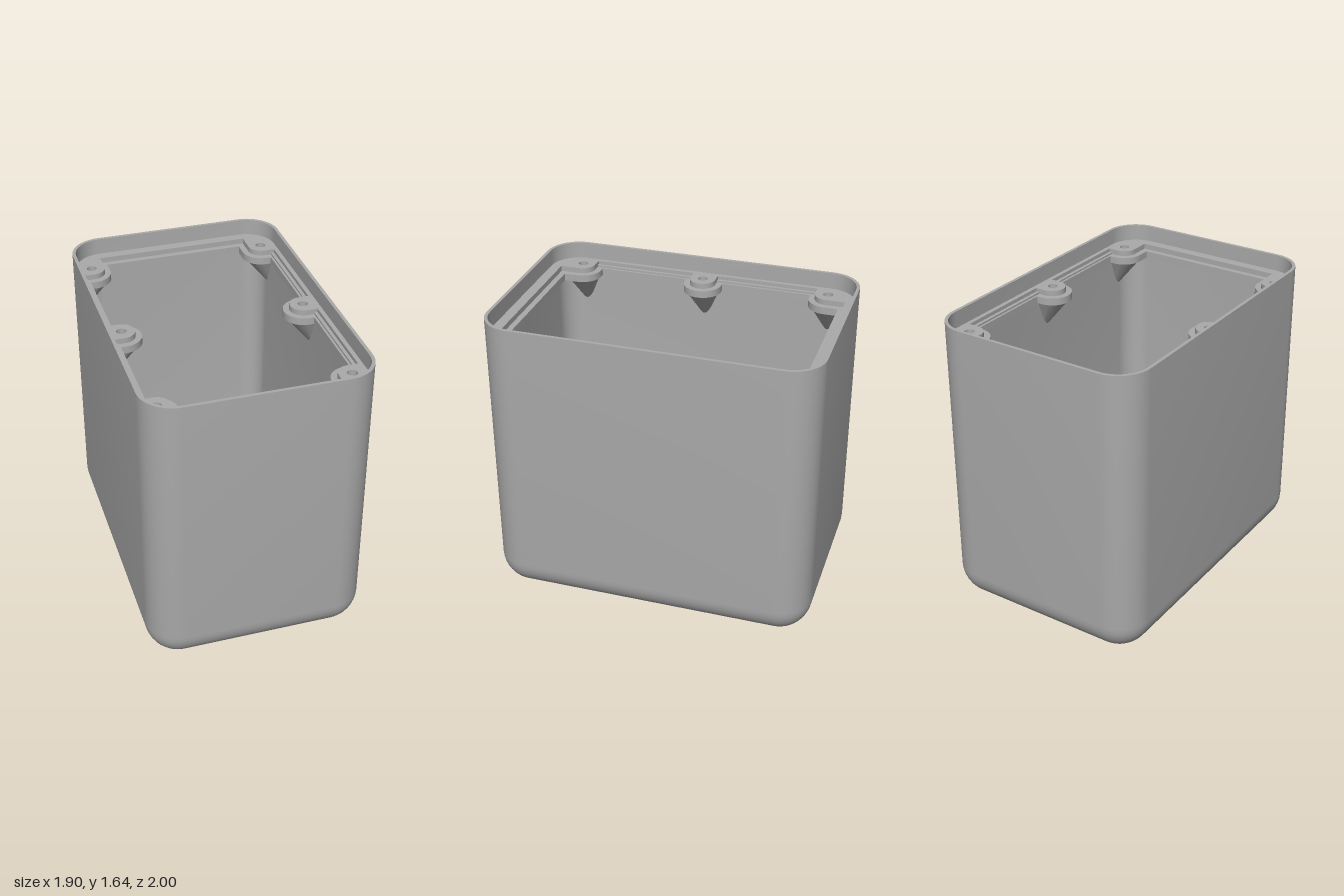
import * as THREE from 'three';
import { toCreasedNormals } from 'three/addons/utils/BufferGeometryUtils.js';

const W = 0.597, L = 0.894, H = 1.64;   // half width, half length, height
const R = 0.18;                         // outer corner and bottom fillet radius
const SX = 0.497, SZ = 0.713;           // lid screw positions
const CZ = 0.14, NUT = 0.345;           // floor opening centre, nut spacing
const FLOOR = 0.09, LEDGE = 1.55;

const grey = new THREE.MeshStandardMaterial({ color: 0xaaaaaa });
grey.name = 'grey plastic';

function mesh(name, geometry) {
  const m = new THREE.Mesh(toCreasedNormals(geometry, 0.5), grey);
  m.name = name;
  return m;
}

// Points of a rounded rectangle, inset from the outer outline
function outline(inset, steps = 10) {
  const r = Math.max(R - inset, 0.002), w = W - inset - r, l = L - inset - r, pts = [];
  [[1, 1], [-1, 1], [-1, -1], [1, -1]].forEach(([sx, sz], q) => {
    for (let i = 0; i <= steps; i++) {
      const a = (q + i / steps) * Math.PI / 2;
      pts.push(new THREE.Vector2(sx * w + r * Math.cos(a), sz * l + r * Math.sin(a)));
    }
  });
  return pts;
}

// Skin through a list of [inset, y] outlines
function skin(profile) {
  const pos = [], idx = [];
  const rings = profile.map(([inset]) => outline(inset));
  const n = rings[0].length;
  rings.forEach((ring, k) => ring.forEach(p => pos.push(p.x, profile[k][1], p.y)));
  for (let k = 0; k < rings.length - 1; k++) {
    for (let i = 0; i < n; i++) {
      const a = k * n + i, b = k * n + (i + 1) % n;
      idx.push(a, a + n, b, b, a + n, b + n);
    }
  }
  const g = new THREE.BufferGeometry();
  g.setAttribute('position', new THREE.Float32BufferAttribute(pos, 3));
  g.setIndex(idx);
  return g;
}

// Horizontal slab from a shape drawn in x and z
function slab(shape, bottom, top) {
  const g = new THREE.ExtrudeGeometry(shape, { depth: top - bottom, bevelEnabled: false, curveSegments: 40 });
  g.rotateX(Math.PI / 2);
  g.translate(0, top, 0);
  return g;
}

function circle(x, z, r, sides = 0) {
  if (!sides) return new THREE.Path().absarc(x, z, r, 0, Math.PI * 2, false);
  const pts = [];
  for (let i = 0; i < sides; i++) {
    const a = i / sides * Math.PI * 2;
    pts.push(new THREE.Vector2(x + r * Math.cos(a), z + r * Math.sin(a)));
  }
  return new THREE.Path(pts);
}

function rect(w, l, z = 0, r = 0.001) {
  const s = new THREE.Shape();
  s.moveTo(w, z - l + r);
  s.absarc(w - r, z + l - r, r, 0, Math.PI / 2, false);
  s.absarc(-w + r, z + l - r, r, Math.PI / 2, Math.PI, false);
  s.absarc(-w + r, z - l + r, r, Math.PI, Math.PI * 1.5, false);
  s.absarc(w - r, z - l + r, r, Math.PI * 1.5, Math.PI * 2, false);
  return s;
}

const screws = [];
for (const x of [SX, -SX]) for (const z of [-SZ, 0, SZ]) screws.push([x, z]);
const nuts = [];
for (const x of [NUT, -NUT]) for (const z of [-NUT, NUT]) nuts.push([x, CZ + z]);

// Ledge with an opening that leaves a rounded tab around every screw
function ledgeShape(inset, w, l, r) {
  const half = [];
  const arc = (z, a0, a1) => {
    for (let i = 0; i <= 16; i++) {
      const a = a0 + (a1 - a0) * i / 16;
      half.push(new THREE.Vector2(SX + r * Math.cos(a), z + r * Math.sin(a)));
    }
  };
  const P = Math.PI;
  half.push(new THREE.Vector2(SX - r, -l));
  arc(-SZ, P, P / 2);
  half.push(new THREE.Vector2(w, -SZ + r), new THREE.Vector2(w, -r));
  arc(0, P * 1.5, P / 2);
  half.push(new THREE.Vector2(w, r), new THREE.Vector2(w, SZ - r));
  arc(SZ, P * 1.5, P);
  half.push(new THREE.Vector2(SX - r, l));
  const other = half.map(p => new THREE.Vector2(-p.x, -p.y));
  const s = new THREE.Shape(outline(inset));
  s.holes.push(new THREE.Path([...half, ...other]));
  screws.forEach(([x, z]) => s.holes.push(circle(x, z, 0.027)));
  return s;
}

export function createModel() {
  const model = new THREE.Group();
  model.name = 'enclosure';
  const body = new THREE.Group();
  body.name = 'body';
  body.rotation.y = THREE.MathUtils.degToRad(38.2);
  model.add(body);

  // Outer wall with bottom fillet, thin rim, inner wall with floor fillet
  const profile = [], N = 10, wall = 0.06, fillet = R - wall;
  for (let i = 0; i <= N; i++) {
    const a = i / N * Math.PI / 2;
    profile.push([R * (1 - Math.sin(a)), R * (1 - Math.cos(a))]);
  }
  profile.push([0, H], [0.018, H], [0.018, LEDGE - 0.02], [wall, LEDGE - 0.02]);
  for (let i = 0; i <= N; i++) {
    const a = i / N * Math.PI / 2;
    profile.push([wall + fillet * (1 - Math.cos(a)), FLOOR + fillet * (1 - Math.sin(a))]);
  }
  body.add(mesh('shell', skin(profile)));

  // Stepped ledge for the lid
  body.add(mesh('upperLedge', slab(ledgeShape(0.01, 0.555, 0.82, 0.072), LEDGE - 0.03, LEDGE)));
  body.add(mesh('lowerLedge', slab(ledgeShape(0.03, 0.525, 0.788, 0.106), LEDGE - 0.07, LEDGE - 0.03)));

  // Tapered supports leaning into the wall under each screw
  screws.forEach(([x, z]) => {
    const g = new THREE.CylinderGeometry(0.093, 0.02, 0.16, 32);
    const p = g.attributes.position;
    for (let i = 0; i < p.count; i++) {
      if (p.getY(i) < 0) p.setX(i, p.getX(i) + Math.sign(x) * 0.06);
    }
    g.translate(x, LEDGE - 0.15, z);
    body.add(mesh('screwSupport', g));
  });

  // Floor: square outer recess, round pocket and screw holes
  const fw = W - R, fl = L - R;
  const outer = rect(fw, fl);
  outer.holes.push(rect(0.412, 0.412, CZ, 0.04));
  body.add(mesh('outerFloor', slab(outer, 0, FLOOR / 2)));
  const inner = rect(fw, fl);
  inner.holes.push(circle(0, CZ, 0.415));
  nuts.forEach(([x, z]) => inner.holes.push(circle(x, z, 0.036)));
  body.add(mesh('innerFloor', slab(inner, FLOOR / 2, FLOOR)));

  // Raised ring around the opening
  const ring = new THREE.Shape().absarc(0, CZ, 0.44, 0, Math.PI * 2, false);
  ring.holes.push(circle(0, CZ, 0.385));
  body.add(mesh('openingRing', slab(ring, FLOOR, FLOOR + 0.04)));

  // Bosses with hexagonal nut pockets
  nuts.forEach(([x, z]) => {
    const boss = new THREE.Shape().absarc(x, z, 0.07, 0, Math.PI * 2, false);
    boss.holes.push(circle(x, z, 0.05, 6));
    body.add(mesh('nutBoss', slab(boss, FLOOR, FLOOR + 0.042)));
  });

  return model;
}
